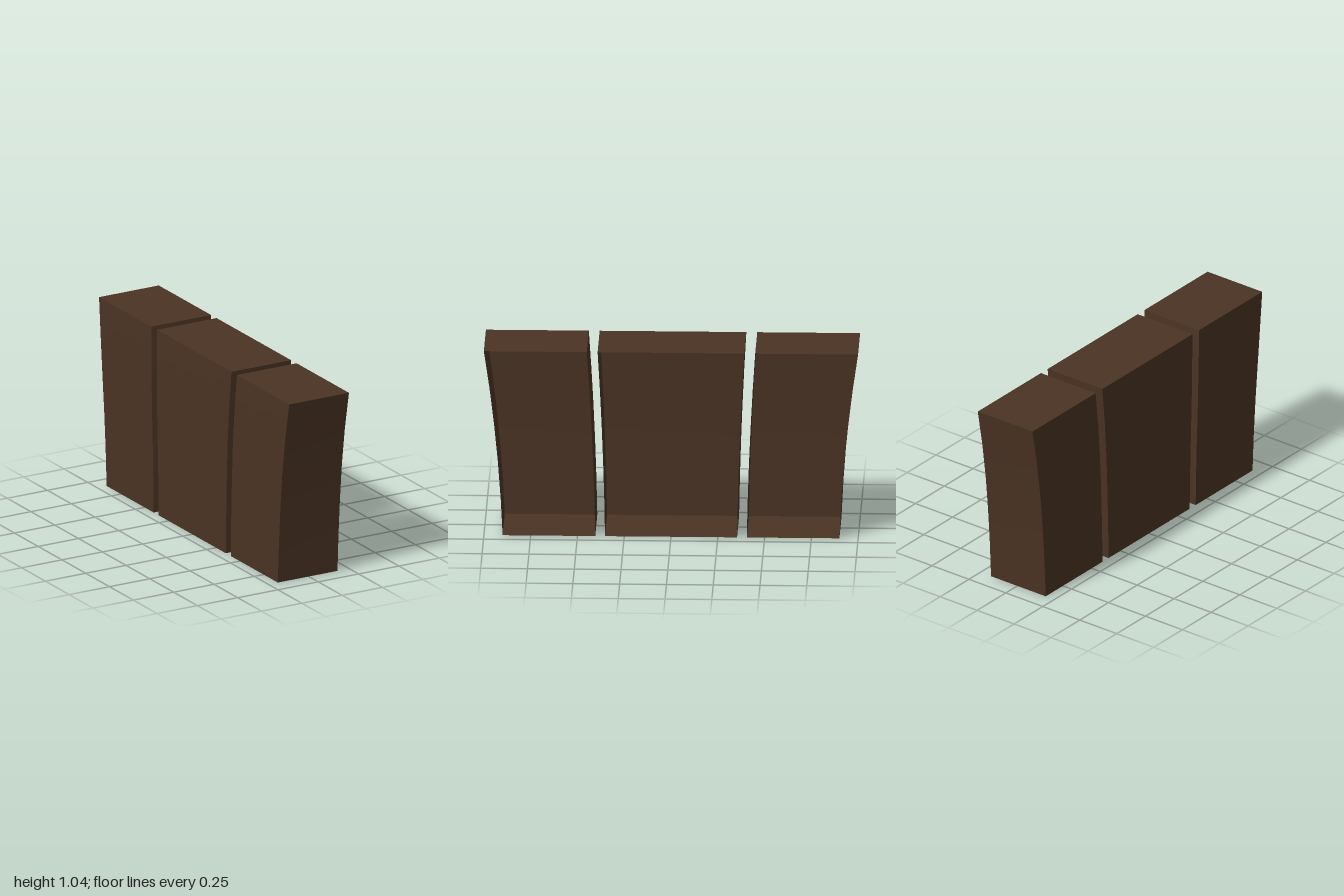
import * as THREE from 'three';

const HEIGHT = 1.037, WIDTH = 0.37, LEVELS = 5;

// Flare outward along z, and lean slightly toward +x near the top
const flare = t => 0.9 + 0.04 * t + 0.06 * t * t;
const lean = t => -0.007 + 0.012 * Math.max(0, (t - 0.5) / 0.5) ** 2;

// Thin shell open on its +x side, following the flared profile
function openBin(z0, z1) {
  const geo = new THREE.BoxGeometry(WIDTH, HEIGHT, z1 - z0, 1, LEVELS, 1);

  // The first face group is the +x side: leave it out
  const open = geo.groups[0];
  geo.setIndex(Array.from(geo.index.array).slice(open.count));
  geo.clearGroups();

  const pos = geo.attributes.position;
  for (let i = 0; i < pos.count; i++) {
    const t = pos.getY(i) / HEIGHT + 0.5;
    const z = pos.getZ(i) + (z0 + z1) / 2;
    pos.setXYZ(i, pos.getX(i) + lean(t), t * HEIGHT, z * flare(t));
  }
  geo.computeVertexNormals();
  return geo;
}

export function createModel() {
  const group = new THREE.Group();
  group.name = 'openBins';
  const wood = new THREE.MeshStandardMaterial({ color: 0x4a3323, side: THREE.DoubleSide });
  wood.name = 'dark brown';

  // Wide middle bin between two narrower end bins
  const bins = [
    ['frontBin', 0.45, 1],
    ['middleBin', -0.392, 0.392],
    ['backBin', -1, -0.45],
  ];
  for (const [name, z0, z1] of bins) {
    const mesh = new THREE.Mesh(openBin(z0, z1), wood);
    mesh.name = name;
    group.add(mesh);
  }
  return group;
}
